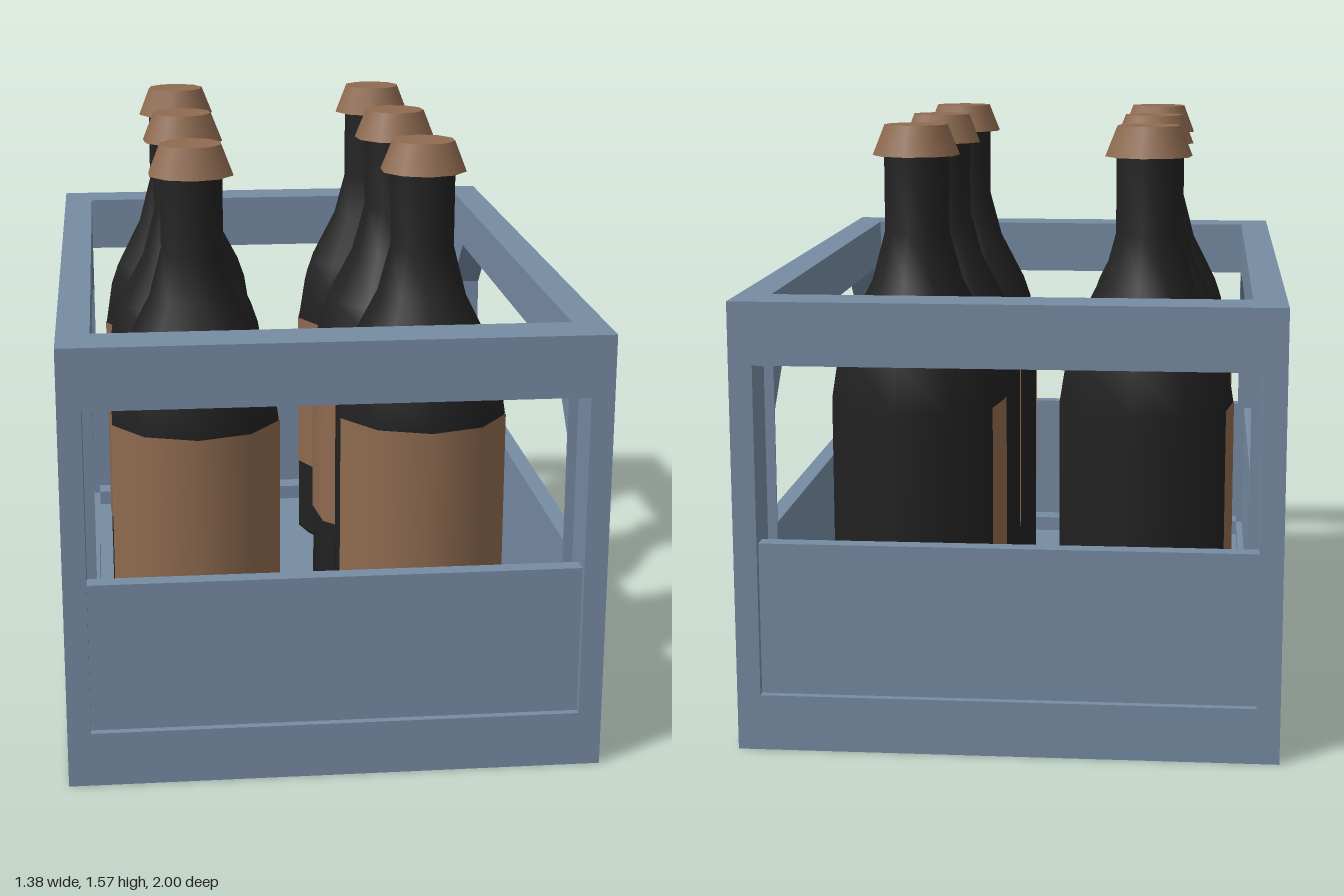
import * as THREE from 'three';

const mat = (name, color) => {
  const m = new THREE.MeshStandardMaterial({ color });
  m.name = name;
  return m;
};

const outline = (P, pts) => new P(pts.map(([x, y]) => new THREE.Vector2(x, y)));

export function createModel() {
  const blue = mat('crate blue', 0x768ba3);
  const dark = mat('bottle black', 0x222222);
  const brown = mat('label brown', 0x8f6b50);
  const grey = mat('plate grey', 0xaaaaab);
  const model = new THREE.Group();
  model.name = 'bottleCrate';

  const add = (parent, name, geo, material, x = 0, y = 0, z = 0) => {
    const mesh = new THREE.Mesh(geo, material);
    mesh.name = name;
    mesh.position.set(x, y, z);
    parent.add(mesh);
    return mesh;
  };

  // Wall frame with one opening, centred on its thickness
  const frame = (halfWidth, hole, depth) => {
    const s = outline(THREE.Shape, [[-halfWidth, 0], [halfWidth, 0], [halfWidth, 1.16], [-halfWidth, 1.16]]);
    s.holes.push(outline(THREE.Path, hole));
    return new THREE.ExtrudeGeometry(s, { depth, bevelEnabled: false }).translate(0, 0, -depth / 2);
  };

  // Crate
  const crate = new THREE.Group();
  crate.name = 'crate';
  model.add(crate);
  add(crate, 'floor', new THREE.BoxGeometry(1.21, 0.1, 1.73), blue, 0, 0.05, 0);

  const endFrame = frame(0.69, [[-0.63, 0.145], [-0.63, 1], [0.63, 1], [0.63, 0.145]], 0.135);
  const sideFrame = frame(0.865, [[-0.86, 0.145], [-0.86, 0.86], [-0.7, 1.02],
    [0.7, 1.02], [0.86, 0.86], [0.86, 0.145]], 0.085).rotateY(Math.PI / 2);
  const endPanel = new THREE.BoxGeometry(1.26, 0.395, 0.045);
  const sidePanel = new THREE.BoxGeometry(0.045, 0.395, 1.72);

  // Rounded plate for the long sides
  const w = 0.572, h = 0.107, r = 0.03;
  const plateShape = new THREE.Shape();
  plateShape.moveTo(-w + r, -h);
  plateShape.lineTo(w - r, -h).quadraticCurveTo(w, -h, w, -h + r);
  plateShape.lineTo(w, h - r).quadraticCurveTo(w, h, w - r, h);
  plateShape.lineTo(-w + r, h).quadraticCurveTo(-w, h, -w, h - r);
  plateShape.lineTo(-w, -h + r).quadraticCurveTo(-w, -h, -w + r, -h);
  const plate = new THREE.ExtrudeGeometry(plateShape, { depth: 0.006, bevelEnabled: false, curveSegments: 5 })
    .translate(0, 0, -0.003).rotateY(Math.PI / 2);

  for (const s of [1, -1]) {
    const end = s > 0 ? 'front' : 'back', side = s > 0 ? 'left' : 'right';
    add(crate, end + 'Frame', endFrame, blue, 0, 0, s * 0.9325);
    add(crate, end + 'Panel', endPanel, blue, 0, 0.3425, s * 0.9575);
    add(crate, side + 'Frame', sideFrame, blue, s * 0.6475, 0, 0);
    add(crate, side + 'Panel', sidePanel, blue, s * 0.6475, 0.3425, 0);
    add(crate, side + 'Plate', plate, grey, s * 0.672, 0.347, 0);
  }

  // Ten-sided bottles, each row turned differently
  const profile = [[0, 0.1], [0.2, 0.1], [0.233, 0.13], [0.233, 0.84], [0.214, 0.96], [0.193, 1.02],
    [0.12, 1.16], [0.085, 1.29], [0.085, 1.5]].map(([x, y]) => new THREE.Vector2(x, y));
  const glass = new THREE.LatheGeometry(profile, 10);
  const label = new THREE.CylinderGeometry(0.236, 0.236, 0.48, 4, 1, true, -Math.PI * 0.4, Math.PI * 0.8);
  const cap = new THREE.CylinderGeometry(0.083, 0.115, 0.08, 10);
  const labelMat = brown;
  labelMat.side = THREE.DoubleSide;

  for (const [z, turn] of [[0.508, 0], [-0.033, -29], [-0.553, -45]]) {
    for (const x of [-0.335, 0.277]) {
      const bottle = new THREE.Group();
      bottle.name = 'bottle';
      bottle.position.set(x, 0, z);
      bottle.rotation.y = THREE.MathUtils.degToRad(turn);
      add(bottle, 'glass', glass, dark);
      add(bottle, 'label', label, labelMat, 0, 0.595, 0);
      add(bottle, 'cap', cap, brown, 0, 1.53, 0);
      model.add(bottle);
    }
  }
  return model;
}
